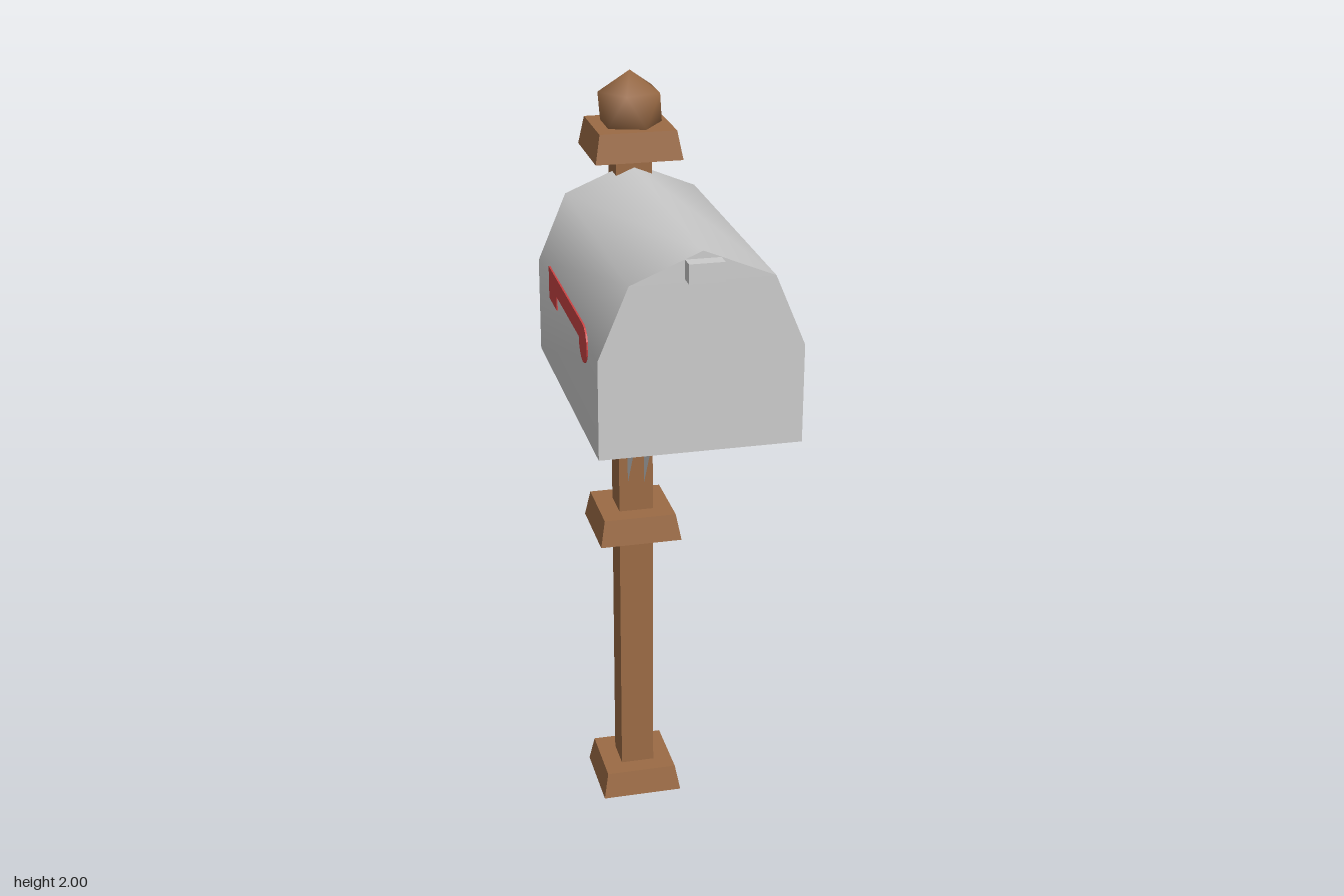
import * as THREE from 'three';

const POST_Z = -0.32;
const mat = (color, flatShading = true) =>
  new THREE.MeshStandardMaterial({ color, flatShading, side: THREE.DoubleSide });

export function createModel() {
  const model = new THREE.Group();
  const wood = mat(0x9b6b45), woodSmooth = mat(0x9b6b45, false);
  const metal = mat(0xcccccc), metalSmooth = mat(0xcccccc, false);
  const red = mat(0xcc4444);

  const add = (name, geometry, material, x = 0, y = 0, z = 0, parent = model) => {
    const mesh = new THREE.Mesh(geometry, material);
    mesh.name = name;
    mesh.position.set(x, y, z);
    parent.add(mesh);
    return mesh;
  };

  // Square wooden post
  add('post', new THREE.BoxGeometry(0.09, 1.83, 0.09), wood, 0, 0.915, POST_Z);

  // Tapered collars, hollow from below
  const collar = (name, y) => {
    const group = new THREE.Group();
    group.name = name;
    group.position.set(0, y, POST_Z);
    const sides = new THREE.CylinderGeometry(0.095 * Math.SQRT2, 0.108 * Math.SQRT2, 0.07, 4, 1, true);
    add('collarSides', sides.rotateY(Math.PI / 4), wood, 0, 0.035, 0, group);
    add('collarTop', new THREE.PlaneGeometry(0.19, 0.19).rotateX(-Math.PI / 2), wood, 0, 0.07, 0, group);
    model.add(group);
  };
  collar('foot', 0);
  collar('middleCollar', 0.78);
  collar('topCollar', 1.8);

  // Faceted ball finial, one corner straight up, smooth normals
  const ball = new THREE.IcosahedronGeometry(0.089, 0);
  ball.rotateZ(Math.atan(2 / (1 + Math.sqrt(5))));
  const pos = ball.attributes.position, v = new THREE.Vector3();
  for (let i = 0; i < pos.count; i++) {
    v.fromBufferAttribute(pos, i).normalize();
    ball.attributes.normal.setXYZ(i, v.x, v.y, v.z);
  }
  add('finial', ball, woodSmooth, 0, 1.911, POST_Z);

  // Box shell: the cross-section swept from back to front
  const back = -0.322, front = 0.398;
  const section = [
    [0.233, 1.308], [0.233, 1.54], [0.163, 1.705], [0, 1.772],
    [-0.163, 1.705], [-0.233, 1.54], [-0.233, 1.308],
  ];
  const points = [], faces = [];
  section.forEach(([x, y], i) => {
    points.push(x, y, back, x, y, front);
    if (i < section.length - 1) {
      const a = i * 2;
      faces.push(a, a + 2, a + 1, a + 1, a + 2, a + 3);
    }
  });
  const shell = new THREE.BufferGeometry();
  shell.setAttribute('position', new THREE.Float32BufferAttribute(points, 3));
  shell.setIndex(faces);
  shell.computeVertexNormals();
  add('boxShell', shell, metalSmooth);

  // Front door, back wall and slightly raised floor
  const endShape = new THREE.Shape(section.map(([x, y]) => new THREE.Vector2(x, y)));
  add('door', new THREE.ShapeGeometry(endShape), metal, 0, 0, front);
  add('backWall', new THREE.ShapeGeometry(endShape).rotateY(Math.PI), metal, 0, 0, back);
  add('floor', new THREE.PlaneGeometry(0.466, front - back).rotateX(Math.PI / 2), metal,
    0, 1.328, (front + back) / 2);

  // Door latch
  add('latch', new THREE.BoxGeometry(0.08, 0.044, 0.036), metal, 0, 1.733, 0.414);

  // Brace: a channel open towards the front, points are [z, y]
  const brace = new THREE.Group();
  brace.name = 'brace';
  const outline = [[-0.275, 1.025], [-0.275, 0.93], [-0.022, 1.328], [-0.077, 1.328]];
  const cheek = new THREE.Shape(outline.map(([z, y]) => new THREE.Vector2(-z, y)));
  for (const side of [-1, 1]) {
    add('braceSide', new THREE.ShapeGeometry(cheek).rotateY(Math.PI / 2), metal, side * 0.022, 0, 0, brace);
  }
  const [low, , , high] = outline;
  const dz = high[0] - low[0], dy = high[1] - low[1];
  const web = add('braceWeb', new THREE.PlaneGeometry(0.044, Math.hypot(dz, dy)), metal,
    0, (low[1] + high[1]) / 2, (low[0] + high[0]) / 2, brace);
  web.rotation.x = Math.atan2(dz, dy);
  model.add(brace);

  // Signal flag on the right wall: arm with a square end and a round end
  const flag = new THREE.Shape();
  flag.moveTo(-0.165, 1.575);
  flag.lineTo(-0.165, 1.495);
  flag.lineTo(-0.07, 1.495);
  flag.lineTo(-0.07, 1.53);
  flag.lineTo(0.21, 1.53);
  flag.absarc(0.25, 1.53, 0.045, Math.PI, Math.PI * 2.5, false);
  flag.closePath();
  const flagGeometry = new THREE.ExtrudeGeometry(flag, { depth: 0.004, bevelEnabled: false, curveSegments: 6 });
  add('flag', flagGeometry.rotateY(-Math.PI / 2), red, -0.232, 0, 0);

  return model;
}
